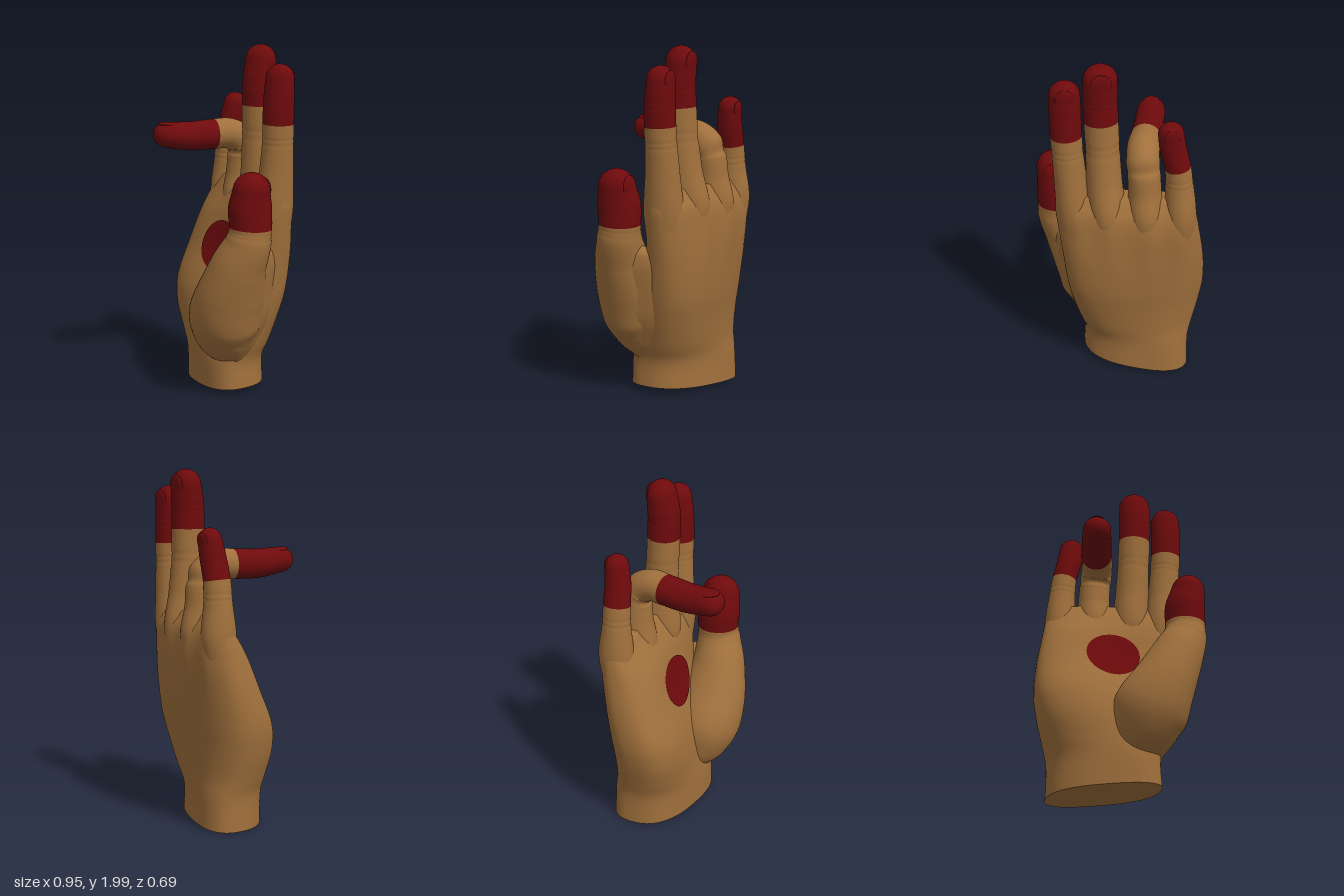
import * as THREE from 'three';

const skin = new THREE.MeshStandardMaterial({ color: 0xa0703c, side: THREE.DoubleSide });
const red = new THREE.MeshStandardMaterial({ color: 0x6e0a0c, side: THREE.DoubleSide });
const V = (x, y, z) => new THREE.Vector3(x, y, z);
const gauss = (d, w) => Math.exp(-(d * d) / (w * w));
const bend = (v, power) => Math.sign(v) * Math.pow(Math.abs(v), 2 / power);
const SIDES = 40;

// Smooth skin over a stack of closed rings
function loft(name, rings, material) {
  const n = rings[0].length, pos = [], idx = [];
  rings.forEach(r => r.forEach(p => pos.push(p.x, p.y, p.z)));
  for (let i = 0; i < rings.length - 1; i++) {
    for (let j = 0; j < n; j++) {
      const a = i * n + j, b = i * n + (j + 1) % n;
      idx.push(a, b, b + n, a, b + n, a + n);
    }
  }
  const g = new THREE.BufferGeometry();
  g.setAttribute('position', new THREE.Float32BufferAttribute(pos, 3));
  g.setIndex(idx);
  g.computeVertexNormals();
  const mesh = new THREE.Mesh(g, material);
  mesh.name = name;
  return mesh;
}

// Palm rows: y, left x, right x, centre z left/right, half thickness left/right
const ROWS = [
  [0.00, -0.39, 0.22, -0.135, 0.02, 0.21, 0.205],
  [0.20, -0.39, 0.215, -0.125, 0.015, 0.207, 0.205],
  [0.30, -0.415, 0.245, -0.10, -0.02, 0.207, 0.21],
  [0.45, -0.455, 0.285, -0.08, -0.07, 0.222, 0.20],
  [0.60, -0.475, 0.315, -0.092, -0.11, 0.225, 0.19],
  [0.80, -0.46, 0.34, -0.15, -0.13, 0.197, 0.17],
  [1.00, -0.425, 0.365, -0.205, -0.13, 0.167, 0.14],
  [1.12, -0.40, 0.375, -0.237, -0.135, 0.117, 0.115],
  [1.20, -0.375, 0.355, -0.24, -0.14, 0.07, 0.07],
];

// Hermite interpolation of the rows at height y
function rowAt(y) {
  let i = 0;
  while (i < ROWS.length - 2 && y > ROWS[i + 1][0]) i++;
  const slope = (k, c) => {
    const a = ROWS[Math.max(k - 1, 0)], b = ROWS[Math.min(k + 1, ROWS.length - 1)];
    return (b[c] - a[c]) / (b[0] - a[0]);
  };
  const h = ROWS[i + 1][0] - ROWS[i][0], t = (y - ROWS[i][0]) / h, t2 = t * t, t3 = t2 * t;
  return ROWS[i].map((v, c) => (2 * t3 - 3 * t2 + 1) * v + (t3 - 2 * t2 + t) * h * slope(i, c)
    + (3 * t2 - 2 * t3) * ROWS[i + 1][c] + (t3 - t2) * h * slope(i + 1, c));
}

// Surface z at (x, y): s is +1 on the palm side and -1 on the back
const POWER = 2.5;
function palmZ(x, y, s, amount) {
  const [, xl, xr, zl, zr, tl, tr] = rowAt(y);
  const f = THREE.MathUtils.clamp((x - xl) / (xr - xl), 0, 1);
  const h = amount ?? Math.pow(Math.max(0, 1 - Math.pow(Math.abs(2 * f - 1), POWER)), 1 / POWER);
  let z = zl + (zr - zl) * f + s * (tl + (tr - tl) * f) * h;
  if (s > 0) z -= 0.03 * h * gauss(x + 0.02, 0.2) * gauss(y - 0.85, 0.25); // hollow of the palm
  else for (const k of [-0.31, -0.12, 0.08, 0.28]) z -= 0.016 * h * gauss(x - k, 0.055) * gauss(y - 1.05, 0.22);
  return z;
}

function palmRing(y, scale = 1, lift = 0) {
  const [, xl, xr] = rowAt(y), cx = (xl + xr) / 2, rx = (xr - xl) / 2, mid = palmZ(cx, y, 1, 0);
  return Array.from({ length: 72 }, (_, j) => {
    const a = j / 72 * Math.PI * 2, s = Math.sin(a);
    const px = cx + rx * bend(Math.cos(a), POWER);
    const z = palmZ(px, y, s > 0 ? -1 : 1, Math.abs(bend(s, POWER)));
    const x = cx + (px - cx) * scale;
    // the wrist cut slopes up towards the thumb side
    const tilt = Math.max(0, 1 - y / 0.2) * (0.01 + 0.065 * (x + 0.39));
    return V(x, y + lift + tilt, mid + (z - mid) * scale);
  });
}

function makePalm() {
  const rings = [palmRing(0, 0.001), palmRing(0), palmRing(0)];
  for (let i = 1; i <= 60; i++) rings.push(palmRing(1.2 * i / 60));
  for (const [s, l] of [[0.93, 0.01], [0.8, 0.016], [0.4, 0.02], [0.001, 0.02]]) rings.push(palmRing(1.2, s, l));
  return loft('palm', rings, skin);
}

// Round painted spot that follows the palm surface
function makeSpot() {
  const g = new THREE.RingGeometry(0.0001, 1, 48, 12), p = g.attributes.position;
  for (let i = 0; i < p.count; i++) {
    const x = -0.045 + p.getX(i) * 0.155, y = 0.84 + p.getY(i) * 0.14;
    p.setXYZ(i, x, y, palmZ(x, y, 1) + 0.006);
  }
  g.computeVertexNormals();
  const mesh = new THREE.Mesh(g, red);
  mesh.name = 'palmSpot';
  return mesh;
}

// Flesh joining the thumb base to the edge of the palm: x, y, half width, half depth
function makeWeb() {
  const rows = [[0.12, 0.2, 0.07, 0.08], [0.145, 0.31, 0.115, 0.17], [0.2, 0.47, 0.128, 0.19],
    [0.25, 0.63, 0.108, 0.19], [0.295, 0.78, 0.085, 0.16], [0.315, 0.86, 0.06, 0.11], [0.325, 0.91, 0.001, 0.001]];
  const path = new THREE.CatmullRomCurve3(rows.map(r => V(r[0], r[1], 0.01)));
  const size = new THREE.CatmullRomCurve3(rows.map(r => V(r[2], r[3], 0)));
  return loft('thumbWeb', Array.from({ length: 37 }, (_, i) => {
    const c = path.getPoint(i / 36), r = size.getPoint(i / 36);
    return Array.from({ length: SIDES }, (_, j) => {
      const a = j / SIDES * Math.PI * 2, dz = -r.y * bend(Math.sin(a), 2.8);
      return V(c.x + r.x * bend(Math.cos(a), 2.8) + 0.35 * dz, c.y, c.z + dz);
    });
  }), skin);
}

// Finger along points [x, y, z, half width, half depth]; red from control index `split`
function makeFinger(name, pts, split, creases, nailSize) {
  const path = new THREE.CatmullRomCurve3(pts.map(p => V(p[0], p[1], p[2])));
  const size = new THREE.CatmullRomCurve3(pts.map(p => V(p[3], p[4], 0)));
  const last = pts.length - 1, ts = split / last;
  const frame = t => {
    const dir = path.getTangent(t);
    const side = V(1, 0, 0).addScaledVector(dir, -dir.x).normalize();
    return { c: path.getPoint(t), r: size.getPoint(t), dir, side, back: dir.clone().cross(side) };
  };
  const ring = (t, cap = 0) => {
    const { c, r, dir, side, back } = frame(t);
    const len = (r.x + r.y) / 2 * Math.sin(cap);
    let k = Math.max(Math.cos(cap), 0.001);
    // paired skin folds at the joints
    for (const q of creases) for (const o of [-0.12, 0.12]) k *= 1 - 0.025 * gauss(t * last - q - o, 0.07);
    return Array.from({ length: SIDES }, (_, j) => {
      const a = j / SIDES * Math.PI * 2;
      return c.clone().addScaledVector(dir, len).addScaledVector(side, Math.cos(a) * r.x * k)
        .addScaledVector(back, Math.sin(a) * r.y * k);
    });
  };
  const span = (a, b, n) => Array.from({ length: n + 1 }, (_, i) => ring(a + (b - a) * i / n));
  const tip = span(ts, 1, 24);
  for (let i = 1; i <= 10; i++) tip.push(ring(1, i / 10 * Math.PI / 2));
  const finger = new THREE.Group();
  finger.name = name;
  finger.add(loft(name + 'Base', span(0, ts, 60), skin), loft(name + 'Tip', tip, red));

  // low oval nail on the back of the tip
  const { c, r, dir, side, back } = frame(1);
  const nail = new THREE.Mesh(new THREE.SphereGeometry(1, 24, 16), red);
  nail.name = name + 'Nail';
  nail.scale.set(r.x * 0.62, nailSize, r.y * 0.2);
  nail.quaternion.setFromRotationMatrix(new THREE.Matrix4().makeBasis(side, dir, back.clone().negate()));
  nail.position.copy(c).addScaledVector(back, r.y * 0.8);
  finger.add(nail);
  return finger;
}

export function createModel() {
  const hand = new THREE.Group();
  hand.name = 'hand';
  hand.add(makePalm(), makeSpot(), makeWeb());

  hand.add(makeFinger('littleFinger', [
    [-0.31, 0.88, -0.225, 0.08, 0.08], [-0.313, 1.1, -0.242, 0.09, 0.102], [-0.305, 1.28, -0.241, 0.079, 0.082],
    [-0.293, 1.41, -0.24, 0.072, 0.077], [-0.265, 1.53, -0.245, 0.073, 0.073], [-0.25, 1.625, -0.255, 0.07, 0.065],
  ], 3, [2.3], 0.05));

  hand.add(makeFinger('ringFinger', [
    [-0.12, 0.88, -0.21, 0.09, 0.09], [-0.12, 1.1, -0.215, 0.103, 0.13], [-0.117, 1.25, -0.212, 0.093, 0.1],
    [-0.112, 1.36, -0.208, 0.091, 0.09], [-0.108, 1.435, -0.18, 0.091, 0.09], [-0.118, 1.473, -0.11, 0.09, 0.088],
    [-0.14, 1.475, -0.02, 0.088, 0.086], [-0.17, 1.472, 0.13, 0.086, 0.083], [-0.197, 1.487, 0.272, 0.08, 0.072],
  ], 6, [7], 0.055));

  hand.add(makeFinger('middleFinger', [
    [0.075, 0.88, -0.17, 0.09, 0.09], [0.09, 1.1, -0.173, 0.105, 0.138], [0.103, 1.3, -0.16, 0.099, 0.108],
    [0.11, 1.5, -0.148, 0.094, 0.093], [0.116, 1.66, -0.142, 0.094, 0.092], [0.12, 1.78, -0.14, 0.096, 0.092],
    [0.12, 1.91, -0.152, 0.093, 0.082],
  ], 4, [3, 5], 0.065));

  hand.add(makeFinger('indexFinger', [
    [0.26, 0.88, -0.13, 0.09, 0.09], [0.272, 1.1, -0.133, 0.1, 0.115], [0.288, 1.3, -0.136, 0.091, 0.099],
    [0.299, 1.45, -0.135, 0.087, 0.09], [0.306, 1.57, -0.132, 0.087, 0.088], [0.309, 1.69, -0.132, 0.088, 0.086],
    [0.31, 1.82, -0.138, 0.085, 0.076],
  ], 4, [3.2, 5], 0.06));

  // thumb with its full, rounded base
  hand.add(makeFinger('thumb', [
    [0.085, 0.26, 0.02, 0.13, 0.12], [0.11, 0.36, 0.08, 0.18, 0.175], [0.147, 0.48, 0.115, 0.212, 0.205],
    [0.22, 0.64, 0.125, 0.182, 0.2], [0.292, 0.8, 0.13, 0.152, 0.16], [0.347, 0.93, 0.11, 0.127, 0.13],
    [0.357, 1.02, 0.1, 0.115, 0.12], [0.356, 1.12, 0.103, 0.115, 0.124], [0.374, 1.23, 0.108, 0.097, 0.107],
  ], 6, [5.6], 0.065));
  return hand;
}
